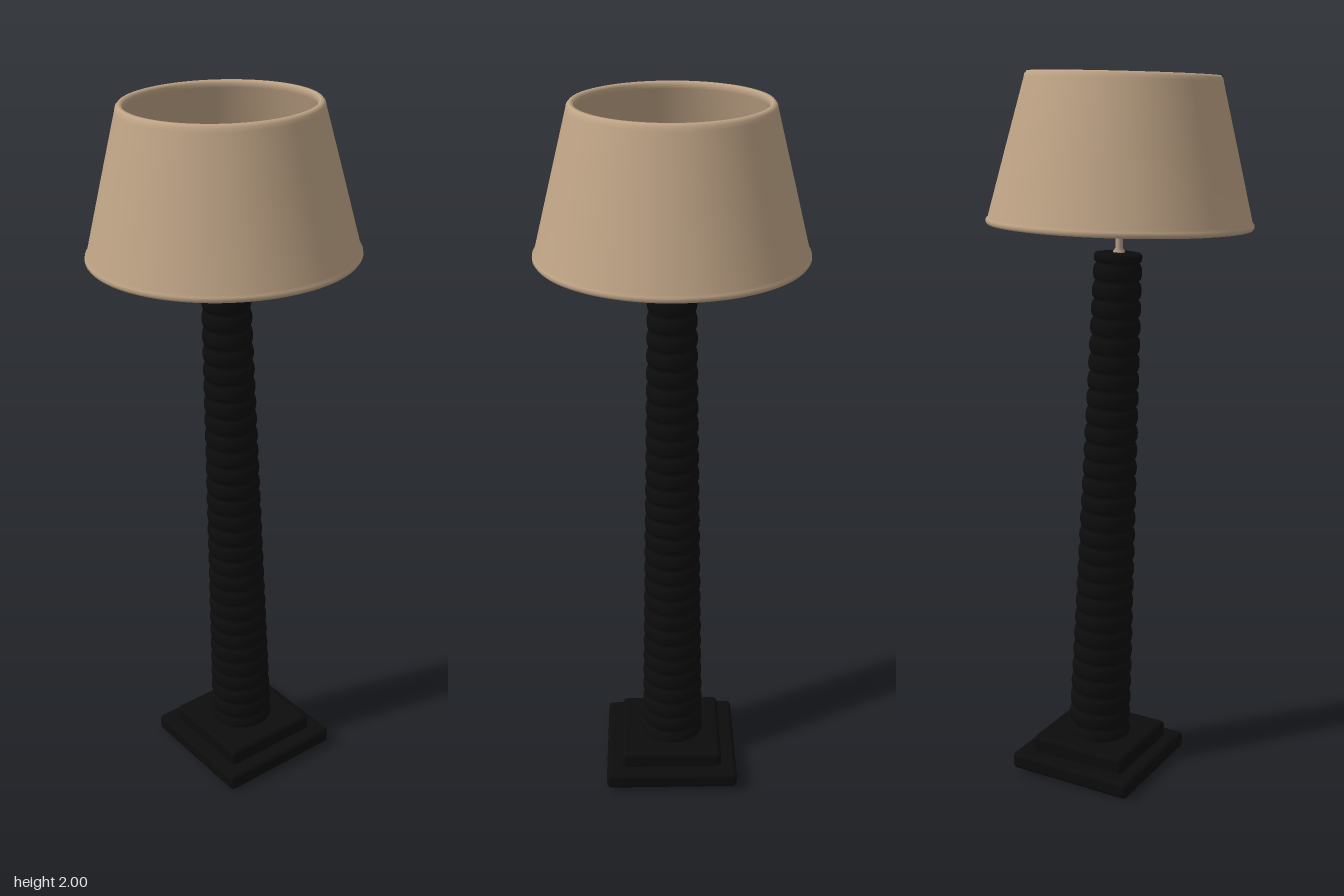
import * as THREE from 'three';
import { RoundedBoxGeometry } from 'three/addons/geometries/RoundedBoxGeometry.js';

function material(name, color, side = THREE.FrontSide) {
  const m = new THREE.MeshStandardMaterial({ color, side });
  m.name = name;
  return m;
}

export function createModel() {
  const black = material('black wood', 0x0c0c0c, THREE.DoubleSide);
  const linen = material('beige linen', 0xbfa486);
  const metal = material('warm metal', 0xb49c88, THREE.DoubleSide);

  const model = new THREE.Group();
  model.name = 'tableLamp';

  // every section leans slightly toward -x
  const section = (name, x, y, z, lean) => {
    const g = new THREE.Group();
    g.name = name;
    g.position.set(x, y, z);
    g.rotation.z = lean;
    model.add(g);
    return g;
  };
  const add = (parent, name, geometry, mat, y = 0) => {
    const mesh = new THREE.Mesh(geometry, mat);
    mesh.name = name;
    mesh.position.y = y;
    parent.add(mesh);
    return mesh;
  };
  const lathe = (pairs, segments = 64) =>
    new THREE.LatheGeometry(pairs.map(([r, y]) => new THREE.Vector2(r, y)), segments);

  // stepped square base
  const base = section('base', 0.072, 0.008, 0.005, 0.042);
  add(base, 'lowerPlinth', new RoundedBoxGeometry(0.375, 0.05, 0.388, 3, 0.014), black, 0.025);
  add(base, 'upperPlinth', new RoundedBoxGeometry(0.292, 0.065, 0.296, 3, 0.014), black, 0.063);

  // tapering column of stacked rounded rings
  const column = section('column', 0.069, 0.085, 0, 0.045);
  const rings = 28, steps = 8, height = 1.41;
  const profile = [[0.0001, 0], [0.08, 0]];
  for (let i = 0; i <= rings * steps; i++) {
    const t = i / (rings * steps);
    const bulge = Math.sqrt(Math.abs(Math.sin((i / steps) * Math.PI)));
    profile.push([0.082 - 0.024 * t + 0.009 * bulge, t * height]);
  }
  profile.push([0.064, height + 0.004], [0.066, height + 0.01], [0.066, height + 0.02],
    [0.062, height + 0.026], [0.05, height + 0.028], [0.0001, height + 0.028]);
  add(column, 'ringedColumn', lathe(profile, 48), black);

  // stem and bulb holder
  const fitting = section('fitting', 0.002, 1.515, 0, 0.012);
  add(fitting, 'stem', lathe([[0.0001, 0], [0.017, 0], [0.016, 0.01], [0.01, 0.018],
    [0.01, 0.095], [0.018, 0.115], [0.034, 0.13], [0.034, 0.142], [0.0001, 0.142]], 32), metal);
  add(fitting, 'socket', lathe([[0.0001, 0.135], [0.034, 0.135], [0.034, 0.17], [0.041, 0.175],
    [0.041, 0.225], [0.037, 0.235], [0.03, 0.235], [0.03, 0.2], [0.0001, 0.2]], 32), black);
  add(fitting, 'socketContact', new THREE.CylinderGeometry(0.028, 0.028, 0.006, 24), metal, 0.204);
  add(fitting, 'carrierRing', lathe([[0.036, 0.134], [0.055, 0.134], [0.057, 0.138],
    [0.055, 0.143], [0.036, 0.143], [0.036, 0.134]], 40), metal);

  // three spokes from the carrier ring out to the shade
  for (let i = 0; i < 3; i++) {
    const a = -Math.PI / 2 + (i * Math.PI * 2) / 3;
    const at = (r, y) => new THREE.Vector3(Math.cos(a) * r, y, Math.sin(a) * r);
    const path = new THREE.LineCurve3(at(0.05, 0.138), at(0.348, 0.112));
    add(fitting, 'spoke', new THREE.TubeGeometry(path, 1, 0.0035, 8), metal);
  }

  // hollow conical shade with rolled rims
  const shade = section('shade', -0.001, 1.593, 0, 0.029);
  add(shade, 'shadeShell', lathe([
    [0.348, 0.002], [0.353, -0.001], [0.359, 0], [0.363, 0.006], [0.362, 0.014], [0.357, 0.02],
    [0.31, 0.204], [0.264, 0.382], [0.262, 0.392], [0.256, 0.399], [0.248, 0.399],
    [0.243, 0.392], [0.245, 0.38], [0.298, 0.204], [0.346, 0.02], [0.345, 0.008], [0.348, 0.002],
  ], 96), linen);

  return model;
}
